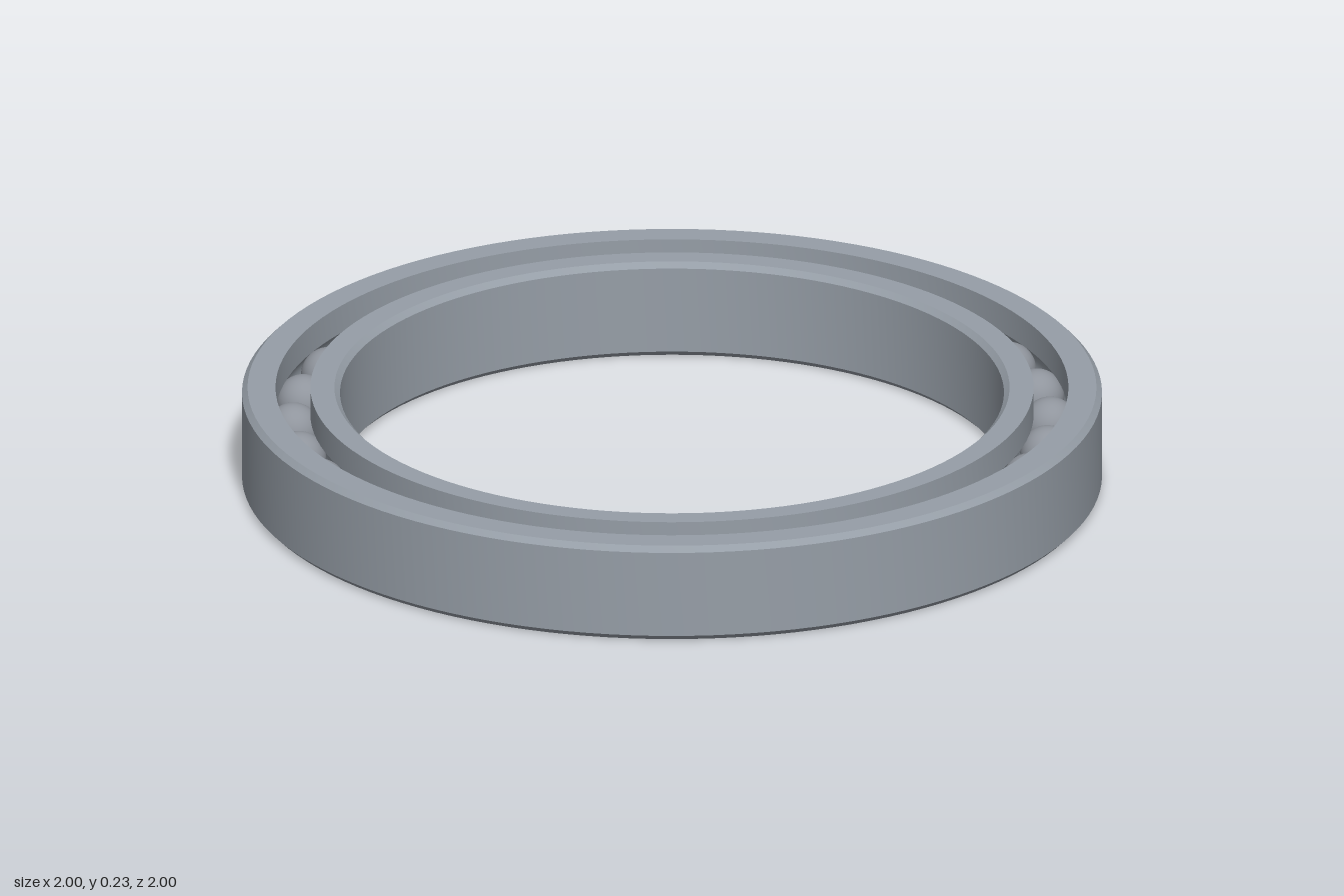
import * as THREE from 'three';
import { toCreasedNormals } from 'three/addons/utils/BufferGeometryUtils.js';

const HEIGHT = 0.234, MID = HEIGHT / 2;
const PITCH = 0.881, BALL_R = 0.064, BALLS = 31;
const CHAMFER = 0.013;

// Ring between a chamfered plain wall and a shoulder wall with a ball groove.
// The profile runs counter-clockwise so that every face points outwards.
function ringGeometry(plainR, shoulderR) {
  const side = Math.sign(shoulderR - plainR); // +1: groove faces outwards
  const offset = Math.abs(shoulderR - PITCH);
  const reach = Math.acos(offset / BALL_R);
  const p = [];
  const add = (r, y) => p.push(new THREE.Vector2(r, y));

  // Shoulder wall going up, with the groove as an arc around the ball centre
  add(shoulderR, 0);
  for (let i = 0; i <= 12; i++) {
    const a = -reach + (2 * reach * i) / 12;
    add(PITCH - side * BALL_R * Math.cos(a), MID + BALL_R * Math.sin(a));
  }
  add(shoulderR, HEIGHT);

  // Plain wall going down, chamfered top and bottom
  add(plainR + side * CHAMFER, HEIGHT);
  add(plainR, HEIGHT - CHAMFER);
  add(plainR, CHAMFER);
  add(plainR + side * CHAMFER, 0);
  p.push(p[0].clone());

  if (side < 0) p.reverse();
  return toCreasedNormals(new THREE.LatheGeometry(p, 128), 0.5);
}

export function createModel() {
  const group = new THREE.Group();
  group.name = 'ballBearing';

  const steel = new THREE.MeshStandardMaterial({ color: 0x969ea7 });
  steel.name = 'steel';
  const ballSteel = new THREE.MeshStandardMaterial({ color: 0x90959d });
  ballSteel.name = 'ball steel';

  const outerRing = new THREE.Mesh(ringGeometry(1, 0.922), steel);
  outerRing.name = 'outerRing';
  const innerRing = new THREE.Mesh(ringGeometry(0.772, 0.841), steel);
  innerRing.name = 'innerRing';
  group.add(outerRing, innerRing);

  // Balls evenly spaced in the groove
  const balls = new THREE.Group();
  balls.name = 'balls';
  const ballGeometry = new THREE.SphereGeometry(BALL_R, 32, 20);
  for (let i = 0; i < BALLS; i++) {
    const a = (i / BALLS) * Math.PI * 2 + 0.005;
    const ball = new THREE.Mesh(ballGeometry, ballSteel);
    ball.name = 'ball';
    ball.position.set(PITCH * Math.cos(a), MID, PITCH * Math.sin(a));
    balls.add(ball);
  }
  group.add(balls);
  return group;
}
